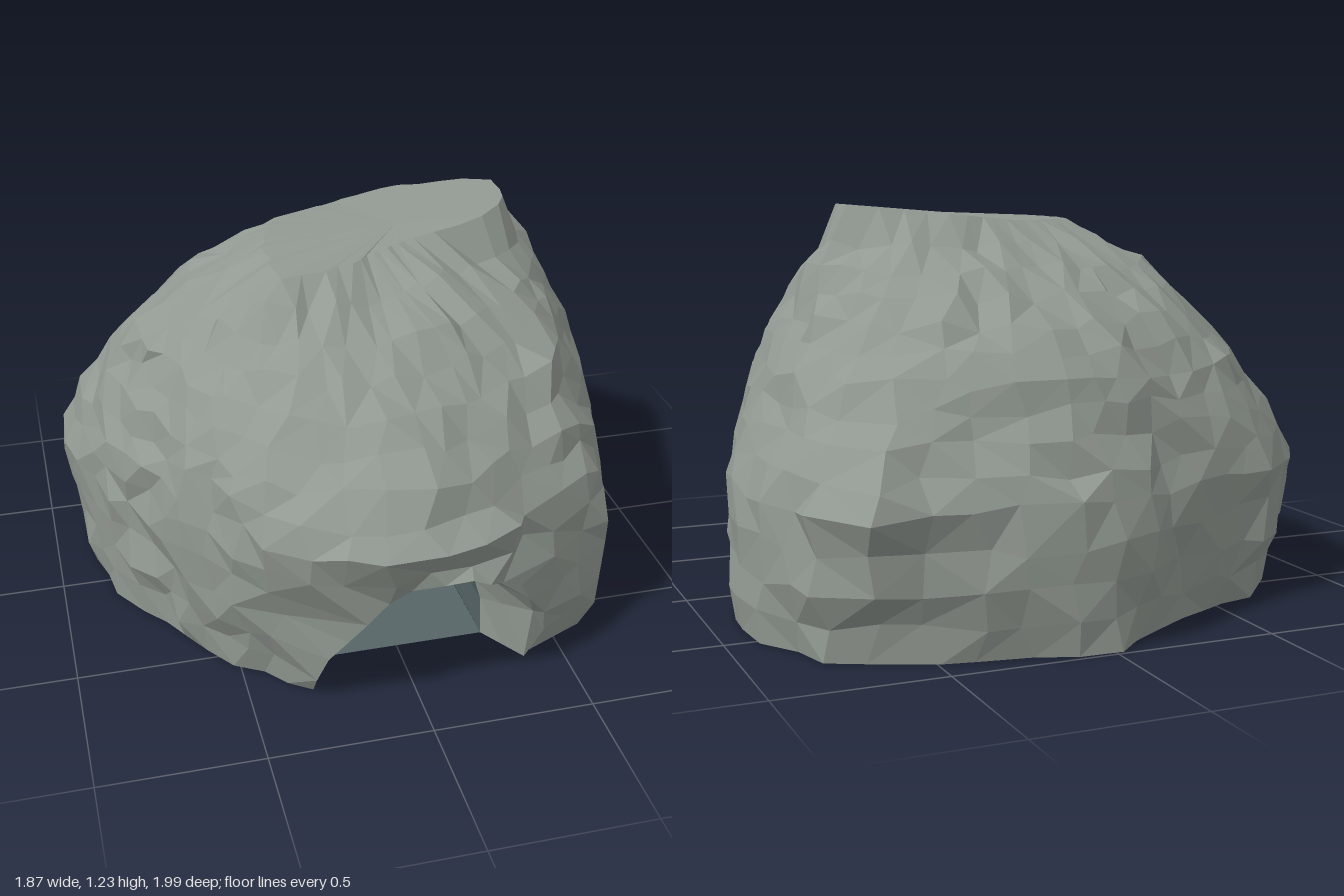
import * as THREE from 'three';

const paint = (name, color) => {
  const m = new THREE.MeshStandardMaterial({ color, side: THREE.DoubleSide });
  m.name = name;
  return m;
};

// Seeded noise in -1..1
let seed = 11;
const rnd = () => {
  seed = (seed * 16807) % 2147483647;
  return (seed / 2147483647) * 2 - 1;
};

// Faceted mesh from rows of points; skip(row, col) leaves cells open
function loft(name, rows, material, closed = false, skip = () => false) {
  const n = rows[0].length, pos = [];
  const tri = (...p) => p.forEach(v => pos.push(v.x, v.y, v.z));
  for (let r = 0; r < rows.length - 1; r++) {
    for (let c = 0; c < (closed ? n : n - 1); c++) {
      if (skip(r, c)) continue;
      const d = (c + 1) % n;
      const a = rows[r][c], b = rows[r][d], e = rows[r + 1][d], f = rows[r + 1][c];
      // split along the shorter diagonal
      if (a.distanceTo(e) < b.distanceTo(f)) { tri(a, b, e); tri(a, e, f); }
      else { tri(a, b, f); tri(b, e, f); }
    }
  }
  const g = new THREE.BufferGeometry();
  g.setAttribute('position', new THREE.Float32BufferAttribute(pos, 3));
  g.computeVertexNormals();
  const mesh = new THREE.Mesh(g, material);
  mesh.name = name;
  return mesh;
}

// Horizontal sections: height, then radii every 22.5 degrees from +z towards +x
const SECTIONS = [
  [0, [.72, .78, .87, .79, .82, 1.0, 1.08, .98, .97, .82, .9, .93, .86, .75, .76, .76]],
  [.2, [.8, .86, .93, .82, .84, 1.01, 1.14, 1.02, 1.0, .87, .95, .99, .87, .78, .8, .82]],
  [.42, [.9, .88, .92, .81, .83, 1.0, 1.15, 1.03, .97, .88, .97, 1.02, .87, .79, .83, .89]],
  [.6, [1.0, .88, .88, .77, .8, .9, 1.05, .94, .9, .84, .9, .93, .84, .78, .82, .98]],
  [.75, [.87, .78, .8, .73, .74, .84, .93, .88, .84, .78, .82, .82, .77, .73, .77, .86]],
  [.9, [.7, .66, .69, .66, .68, .75, .8, .76, .72, .67, .68, .69, .68, .65, .68, .72]],
  [1.04, [.49, .47, .48, .53, .62, .68, .66, .56, .48, .48, .5, .53, .53, .53, .54, .52]],
  [1.18, [.18, .17, .18, .26, .49, .57, .42, .32, .27, .25, .25, .27, .28, .32, .4, .26]],
];
const COLS = 48, MOUTH = 3, MOUTH_ROWS = 4, SPUR = 19;

function rockRows() {
  const rows = [];
  const last = (SECTIONS.length - 1) * 2;
  for (let r = 0; r <= last; r++) {
    const i = Math.min(Math.floor(r / 2), SECTIONS.length - 2), t = r / 2 - i;
    const [y0, r0] = SECTIONS[i], [y1, r1] = SECTIONS[i + 1];
    const row = [];
    for (let c = 0; c < COLS; c++) {
      const k = c / 3, k0 = Math.floor(k), k1 = (k0 + 1) % 16, u = k - k0;
      const lo = THREE.MathUtils.lerp(r0[k0], r0[k1], u);
      const hi = THREE.MathUtils.lerp(r1[k0], r1[k1], u);
      const rough = r > last - 4 ? .007 : .017;
      let rad = THREE.MathUtils.lerp(lo, hi, t) + rnd() * rough;
      let y = THREE.MathUtils.lerp(y0, y1, t);
      // pointed spur at the back corner
      if (c === SPUR) rad += .1 * Math.max(0, 1 - Math.abs(y - .45) / .35);
      const a = (c + rnd() * .3) / COLS * Math.PI * 2;
      const x = THREE.MathUtils.clamp(rad * Math.sin(a), -.94, .93);
      const z = THREE.MathUtils.clamp(rad * Math.cos(a), -1, 1);
      if (r > 0 && r < last) y += rnd() * .02;
      if (r === last) y += .1 * x * (x > 0 ? 1 : .1);
      row.push(new THREE.Vector3(x, y, z));
    }
    rows.push(row);
  }
  // sloping crown behind the crest
  const rim = rows[last], mid = new THREE.Vector3(.14, 1.2, 0);
  for (const s of [.5, 0]) {
    rows.push(rim.map(p => mid.clone().lerp(p, s)));
  }
  return rows;
}

// Arch of points over the ground, running from -x to +x
function arch(n, cx, half, height, z, brow, power) {
  return Array.from({ length: n }, (_, i) => {
    const t = i / (n - 1) * Math.PI, s = Math.max(0, Math.sin(t));
    return new THREE.Vector3(cx - half * Math.cos(t), i % (n - 1) ? height * s ** power : 0, z + brow * s);
  });
}

export function createModel() {
  const group = new THREE.Group();
  const rock = paint('rock grey', 0x929992);
  const slate = paint('tunnel slate', 0x566566);
  const black = paint('cave black', 0x050505);

  // Boulder shell, with the cells of the cave mouth left open
  const rows = rockRows();
  const col = c => (c + COLS) % COLS;
  const edge = [];
  for (let r = 0; r < MOUTH_ROWS; r++) edge.push([r, -MOUTH]);
  for (let c = -MOUTH; c <= MOUTH; c++) edge.push([MOUTH_ROWS, c]);
  for (let r = MOUTH_ROWS - 1; r >= 0; r--) edge.push([r, MOUTH]);
  const n = edge.length;
  const rim = arch(n, .035, .34, .46, .73, .21, .8);
  rim.forEach((p, i) => {
    // the brow rises towards +x
    if (i > 0 && i < n - 1) p.add(new THREE.Vector3(rnd() * .015, rnd() * .015 + .17 * p.x, rnd() * .015));
    rows[edge[i][0]][col(edge[i][1])] = p;
  });
  const inMouth = (r, c) => r < MOUTH_ROWS && (c < MOUTH || c >= COLS - MOUTH);
  group.add(loft('boulder', rows, rock, true, inMouth));

  // Rough recess narrowing from the brow to the tunnel
  const start = arch(n, .02, .26, .34, .58, 0, .6);
  const middle = rim.map((p, i) => {
    const q = p.clone().lerp(start[i], .5);
    if (i > 0 && i < n - 1) q.add(new THREE.Vector3(rnd() * .015, rnd() * .015, rnd() * .02));
    return q;
  });
  group.add(loft('caveMouth', [rim, middle, start], rock));

  // Tunnel walls and floor
  const inner = arch(n, .035, .24, .28, .05, 0, .6);
  const end = arch(n, .035, .235, .26, -.23, 0, .6);
  group.add(loft('tunnelWalls', [start, inner], slate));
  group.add(loft('tunnelFloor', [[start[0], start[n - 1]], [end[0], end[n - 1]]], slate));

  // Dark end of the cave: its walls, then the closing face
  const foot = end.map(p => new THREE.Vector3(p.x, 0, p.z));
  group.add(loft('caveEndWalls', [inner, end], black));
  group.add(loft('caveEnd', [foot, end], black));
  return group;
}
